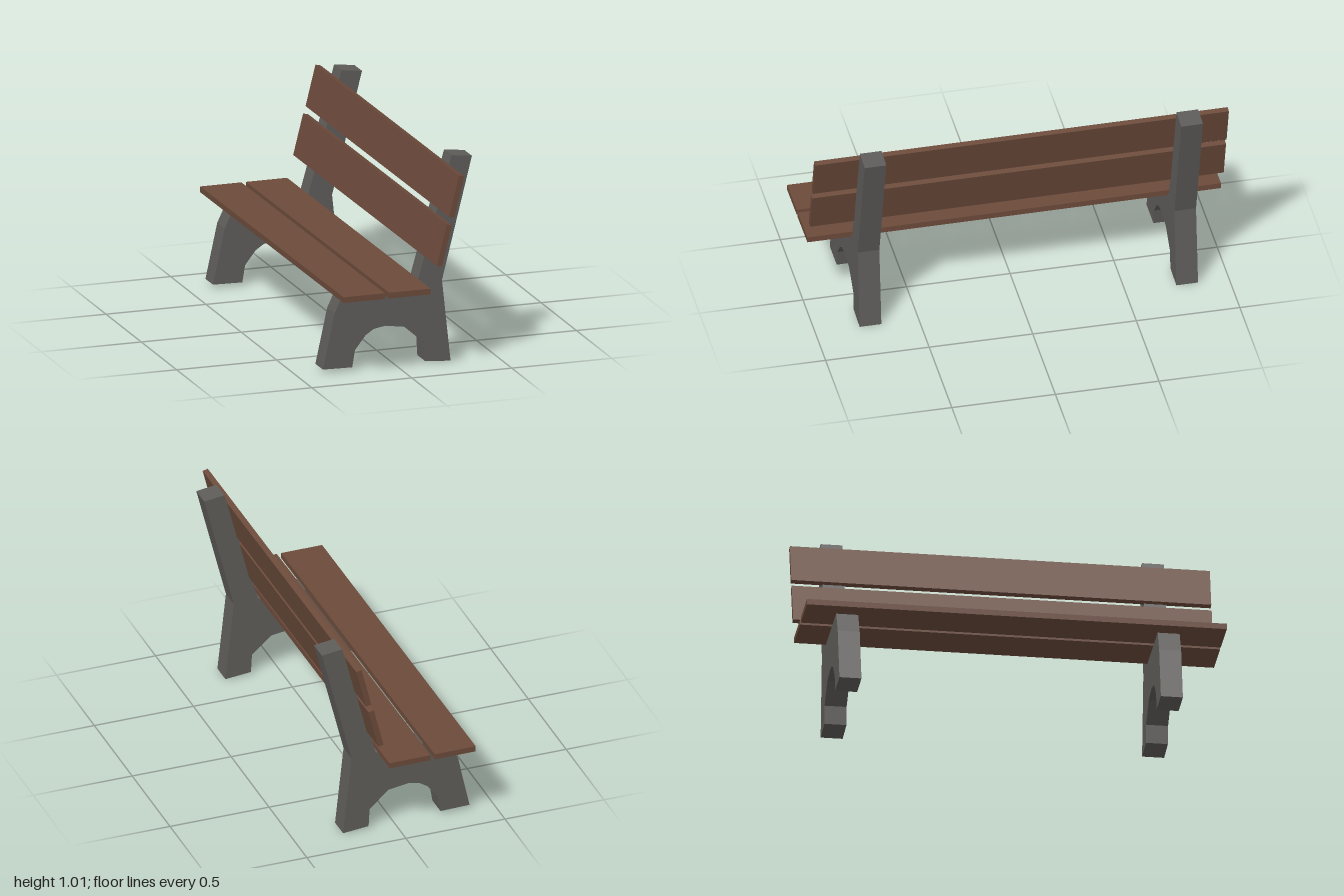
import * as THREE from 'three';

export function createModel() {
  const wood = new THREE.MeshStandardMaterial({ color: 0x6b4a3a });
  wood.name = 'brown wood';
  const stone = new THREE.MeshStandardMaterial({ color: 0x5e5c59 });
  stone.name = 'grey concrete';

  const bench = new THREE.Group();
  bench.name = 'bench';

  // Side profile shared by both supports: feet, arch, backrest post, seat ledge
  const profile = new THREE.Shape([
    [-0.375, 0.02], [-0.228, 0.017], [-0.214, 0.1], [-0.161, 0.168], [-0.12, 0.195],
    [-0.063, 0.205], [0.035, 0.19], [0.131, 0.105], [0.136, 0.013], [0.265, 0.001],
    [0.222, 0.402], [0.372, 0.997], [0.27, 1.01], [0.1, 0.407], [-0.261, 0.407], [-0.316, 0.29],
  ].map(([x, y]) => new THREE.Vector2(x, y)));
  const supportGeometry = new THREE.ExtrudeGeometry(profile, { depth: 0.105, bevelEnabled: false });
  for (const [name, z] of [['frontSupport', 0.682], ['rearSupport', -0.849]]) {
    const support = new THREE.Mesh(supportGeometry, stone);
    support.name = name;
    support.position.z = z;
    bench.add(support);
  }

  // Long planks: name, width, height, centre x, centre y, lean
  const planks = [
    ['outerSeatPlank', 0.207, 0.028, -0.244, 0.416, 0],
    ['innerSeatPlank', 0.207, 0.028, -0.015, 0.416, 0],
    ['lowerBackPlank', 0.027, 0.205, 0.157, 0.635, -0.245],
    ['upperBackPlank', 0.027, 0.205, 0.219, 0.869, -0.245],
  ];
  for (const [name, w, h, x, y, lean] of planks) {
    const plank = new THREE.Mesh(new THREE.BoxGeometry(w, h, 2), wood);
    plank.name = name;
    plank.position.set(x, y, 0);
    plank.rotation.z = lean;
    bench.add(plank);
  }

  // The bench stands very slightly turned
  bench.rotation.y = 0.006;
  const model = new THREE.Group();
  model.name = 'parkBench';
  model.add(bench);
  return model;
}
